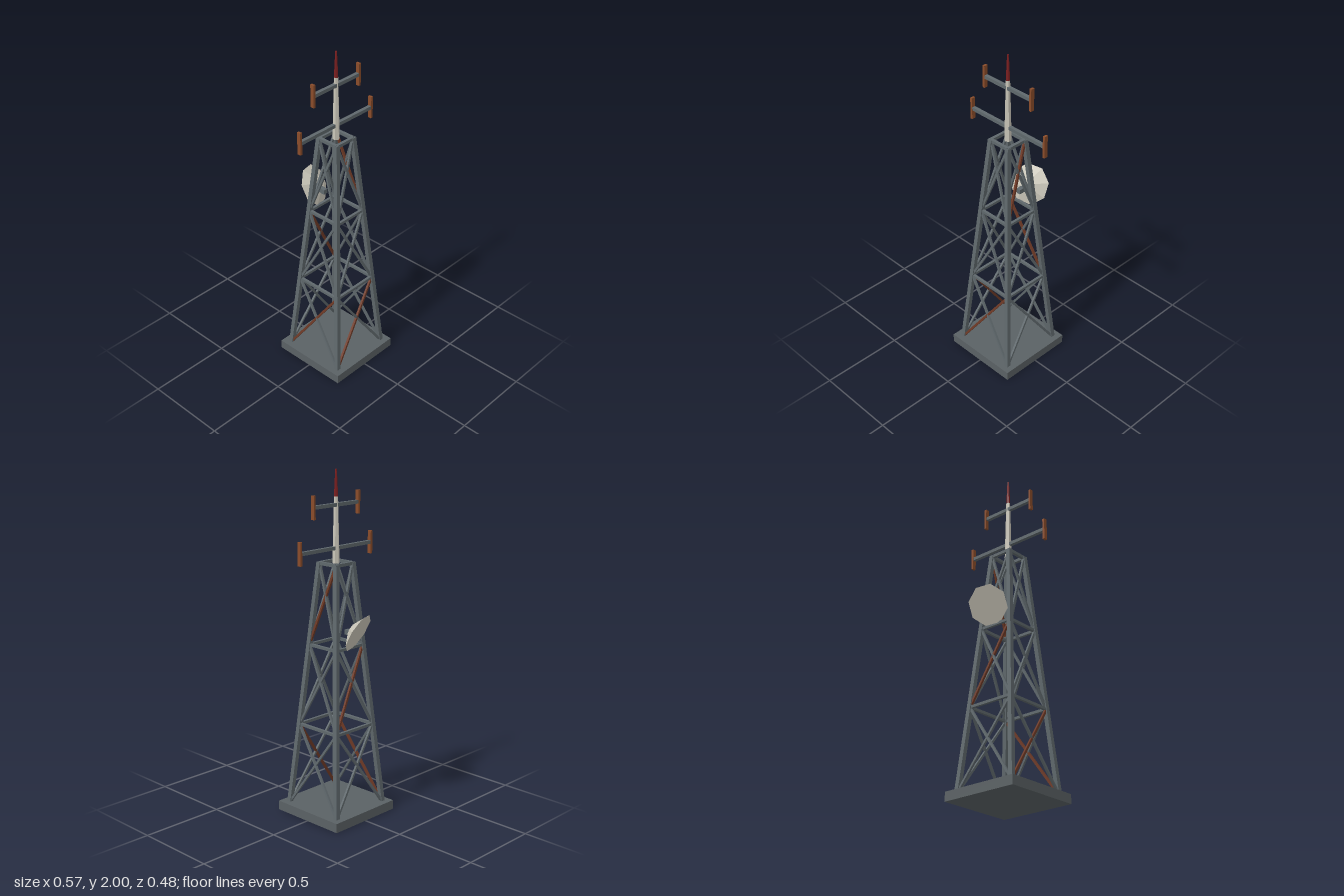
import * as THREE from 'three';

const mat = (name, color) => {
  const m = new THREE.MeshStandardMaterial({ color });
  m.name = name;
  return m;
};

export function createModel() {
  const steel = mat('steel', 0x5f686c);
  const concrete = mat('baseGrey', 0x5a6164);
  const rust = mat('rust', 0x6f3a26);
  const copper = mat('copper', 0x8a4c2a);
  const pale = mat('paleMetal', 0xc9c5b8);
  const red = mat('red', 0x7c1f20);

  const tower = new THREE.Group();
  tower.name = 'latticeTower';
  const UP = new THREE.Vector3(0, 1, 0);

  const add = (name, geo, material, x = 0, y = 0, z = 0) => {
    const mesh = new THREE.Mesh(geo, material);
    mesh.name = name;
    mesh.position.set(x, y, z);
    tower.add(mesh);
    return mesh;
  };
  const box = (name, w, h, d, material, x, y, z) =>
    add(name, new THREE.BoxGeometry(w, h, d), material, x, y, z);

  // Square bar between two points
  const beam = (name, a, b, t, material) => {
    const dir = b.clone().sub(a);
    const mesh = box(name, t, dir.length(), t, material);
    mesh.position.copy(a).add(b).multiplyScalar(0.5);
    mesh.quaternion.setFromUnitVectors(UP, dir.normalize());
  };

  // Half width of the tapering frame at each level
  const levels = [0.05, 0.535, 1.01, 1.48];
  const half = (y) => 0.191 - ((y - 0.05) / 1.43) * 0.126;
  // Corners in order: front left edge, front right edge, back right, back left
  const signs = [[-1, 1], [1, 1], [1, -1], [-1, -1]];
  const corner = (i, y) => {
    const [sx, sz] = signs[i % 4];
    return new THREE.Vector3(sx * half(y), y, sz * half(y));
  };

  // Base slab
  box('base', 0.476, 0.055, 0.476, concrete, 0, 0.0275, 0);

  // Rusted braces as face-level-direction
  const rusty = new Set(['0-0-0', '3-0-0', '2-1-0', '1-2-0']);

  for (let f = 0; f < 4; f++) {
    beam('leg', corner(f, 0.045), corner(f, 1.485), 0.026, steel);
    for (let l = 0; l < 3; l++) {
      const y0 = levels[l], y1 = levels[l + 1];
      beam('crossbar', corner(f, y1), corner(f + 1, y1), l === 2 ? 0.018 : 0.016, steel);
      for (let d = 0; d < 2; d++) {
        const material = rusty.has(`${f}-${l}-${d}`) ? rust : steel;
        beam('brace', corner(f + d, y0), corner(f + 1 - d, y1), 0.013, material);
      }
    }
  }

  // Mast and its red tip
  const cyl = (r1, r0, h, n) => new THREE.CylinderGeometry(r1, r0, h, n).toNonIndexed();
  const mastGeo = cyl(0.012, 0.021, 0.37, 6);
  const tipGeo = cyl(0.005, 0.012, 0.15, 6);
  mastGeo.computeVertexNormals();
  tipGeo.computeVertexNormals();
  add('mast', mastGeo, pale, 0, 1.665, 0);
  add('mastTip', tipGeo, red, 0, 1.925, 0);

  // Antenna arms with upright end elements
  for (const [y, reach] of [[1.565, 0.278], [1.805, 0.175]]) {
    box('antennaArm', reach * 2, 0.02, 0.021, steel, 0, y, 0);
    for (const s of [-1, 1]) {
      box('antennaElement', 0.014, 0.132, 0.023, copper, s * reach, y, 0);
    }
  }

  // Dish: faceted bowl, closed at the rim, facing back and down
  const dishGeo = cyl(0.12, 0.037, 0.045, 8);
  dishGeo.translate(0, -0.0225, 0);
  dishGeo.computeVertexNormals();
  const dish = add('dish', dishGeo, pale, 0, 1.107, -0.172);
  dish.quaternion.setFromUnitVectors(UP, new THREE.Vector3(-0.27, -0.45, -0.85).normalize());

  // Dish bracket
  box('dishMount', 0.028, 0.028, 0.05, steel, 0, 1.1, -0.105);

  return tower;
}
